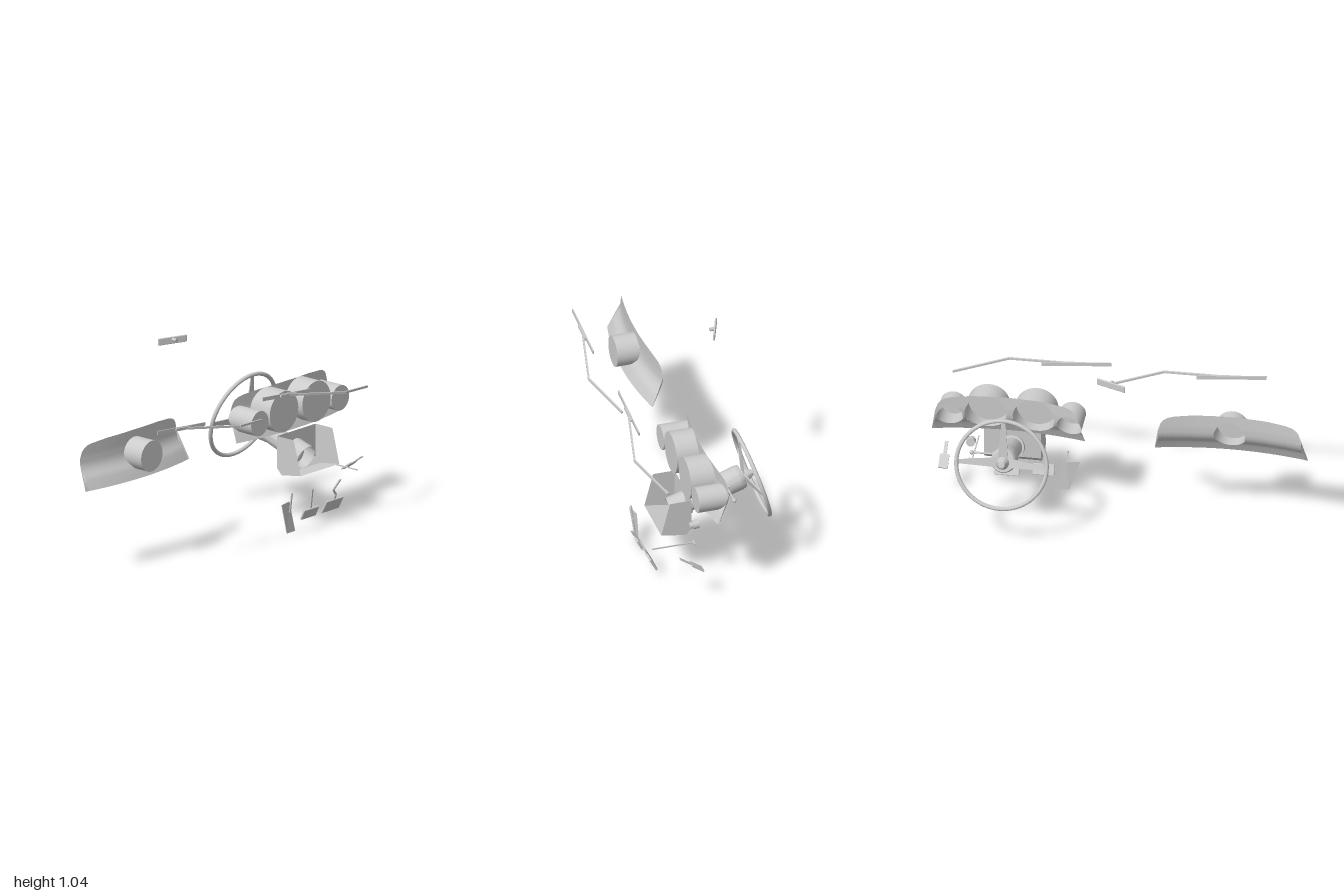
import * as THREE from 'three';
import { mergeGeometries, mergeVertices, toCreasedNormals } from 'three/addons/utils/BufferGeometryUtils.js';
import { ParametricGeometry } from 'three/addons/geometries/ParametricGeometry.js';
import { RoundedBoxGeometry } from 'three/addons/geometries/RoundedBoxGeometry.js';

const mat = new THREE.MeshStandardMaterial({ color: 0xcccccc, side: THREE.DoubleSide });
const V = (x, y, z) => new THREE.Vector3(x, y, z);

function add(parent, name, geo, x = 0, y = 0, z = 0) {
  const m = new THREE.Mesh(geo, mat);
  m.name = name;
  m.position.set(x, y, z);
  parent.add(m);
  return m;
}

function group(parent, name, x = 0, y = 0, z = 0) {
  const g = new THREE.Group();
  g.name = name;
  g.position.set(x, y, z);
  parent.add(g);
  return g;
}

// Flat bar from a to b, w wide and h thick
function bar(parent, name, a, b, w, h) {
  const m = new THREE.Mesh(new THREE.BoxGeometry(w, h, a.distanceTo(b)), mat);
  m.name = name;
  m.position.copy(a).add(b).multiplyScalar(0.5);
  m.lookAt(b);
  parent.add(m);
  return m;
}

// Linear interpolation in a list of [key, value]
function lerpTable(table, t) {
  for (let i = 1; i < table.length; i++) {
    const [a, va] = table[i - 1], [b, vb] = table[i];
    if (t <= b) return va + (vb - va) * Math.max(0, (t - a) / (b - a));
  }
  return table[table.length - 1][1];
}

const OUTLINE = [[0, 0.716], [0.2, 0.713], [0.3, 0.704], [0.33, 0.697], [0.352, 0.685], [0.367, 0.665], [0.38, 0.625], [0.407, 0.47]];
const SECTION = [[0.47, 0.06], [0.5, 0.046], [0.53, 0.031], [0.555, 0.01], [0.575, -0.003], [0.6, -0.01], [0.64, -0.012], [0.716, -0.009]];
const BOTTOM = 0.47, HALF = 0.407, GAUGE_FRONT = 0.11;

// Curved panel with round openings, each backed by a cylindrical housing
function dashPanel(parent, name, cx, holes) {
  const g = group(parent, name);
  const surfaceZ = (x, y) => lerpTable(SECTION, y) - 0.27 * (x - cx) ** 2;
  const topY = x => lerpTable(OUTLINE, Math.abs(x - cx));
  let xs = [];
  for (let i = 0; i <= 30; i++) xs.push(cx - HALF + i * HALF / 15);
  for (const [d] of OUTLINE) xs.push(cx - d, cx + d);
  for (const [hx, , r] of holes) for (let i = 0; i <= 20; i++) xs.push(hx - r * Math.cos(i * Math.PI / 20));
  xs = xs.filter(x => Math.abs(x - cx) <= HALF + 1e-6).sort((a, b) => a - b);
  xs = xs.filter((x, i) => i === 0 || x - xs[i - 1] > 1e-5);

  // Each column runs below and above its opening
  const strip = upper => new ParametricGeometry((u, v, p) => {
    const x = xs[Math.round(u * (xs.length - 1))], top = topY(x);
    const h = holes.find(([hx, , r]) => Math.abs(x - hx) < r);
    const reach = h ? Math.sqrt(h[2] ** 2 - (x - h[0]) ** 2) : 0;
    const mid = Math.min(top, (h ? h[1] : 0.592) + (upper ? reach : -reach));
    const y = upper ? mid + (top - mid) * v : BOTTOM + (mid - BOTTOM) * v;
    p.set(x, y, surfaceZ(x, y));
  }, xs.length - 1, 10);
  const sheet = mergeGeometries([strip(false), strip(true)]);
  sheet.deleteAttribute('uv');
  sheet.deleteAttribute('normal');
  const smooth = mergeVertices(sheet, 1e-5);
  smooth.computeVertexNormals();
  add(g, 'dashSheet', smooth);

  for (const [hx, hy, r] of holes) {
    const tube = new THREE.CylinderGeometry(r, r, 1, 48, 1, true).rotateX(Math.PI / 2).translate(hx, hy, 0);
    const p = tube.attributes.position;
    for (let i = 0; i < p.count; i++) p.setZ(i, p.getZ(i) > 0 ? GAUGE_FRONT : surfaceZ(p.getX(i), p.getY(i)));
    add(g, 'gaugeHousing', tube);
    add(g, 'gaugeCap', new THREE.CircleGeometry(r, 48), hx, hy, GAUGE_FRONT);
  }
}

// Wiper: blade, long arm, and short arm down to the pivot
function wiper(parent, dx) {
  const g = group(parent, 'wiper', dx);
  bar(g, 'wiperBlade', V(-0.735, 0.787, 0.285), V(-0.365, 0.753, 0.285), 0.006, 0.02);
  bar(g, 'wiperClip', V(-0.6, 0.776, 0.29), V(-0.48, 0.765, 0.29), 0.014, 0.012);
  const elbow = V(-0.18, 0.717, 0.366);
  bar(g, 'wiperArm', V(-0.56, 0.772, 0.286), elbow, 0.01, 0.011);
  bar(g, 'wiperLink', elbow, V(0.104, 0.668, 0.27), 0.01, 0.011);
}

// Steering wheel in a frame where y points at the driver and z up the rim
function steeringWheel(parent) {
  const g = group(parent, 'steeringWheel', 0.578, 0.48, -0.294);
  g.rotation.x = 0.288 - Math.PI / 2;
  add(g, 'rim', new THREE.TorusGeometry(0.24, 0.011, 14, 72).rotateX(Math.PI / 2));
  for (const turn of [0, Math.PI / 2, Math.PI]) {
    const s = new THREE.BoxGeometry(0.22, 0.006, 1).translate(0.13, 0, 0);
    const p = s.attributes.position;
    for (let i = 0; i < p.count; i++) {
      const outer = p.getX(i) > 0.13;
      p.setZ(i, p.getZ(i) * (outer ? 0.02 : 0.055));
      if (!outer) p.setY(i, p.getY(i) - 0.045);
    }
    s.computeVertexNormals();
    add(g, 'spoke', s).rotation.y = turn - Math.PI;
    g.children[g.children.length - 1].rotation.y = -turn;
  }
  const hub = [[0.034, -0.06], [0.034, -0.03], [0.022, -0.01], [0.018, 0.005], [0, 0.007]].map(p => new THREE.Vector2(...p));
  add(g, 'hub', toCreasedNormals(new THREE.LatheGeometry(hub, 32), 0.6));
}

function steeringColumn(parent) {
  const g = group(parent, 'steeringColumn', 0.578, 0.366, 0.056);
  g.rotation.x = 0.333 - Math.PI / 2;
  const profile = [[0.067, -0.1], [0.064, 0], [0.054, 0.002], [0.053, 0.145], [0.058, 0.175], [0.066, 0.215], [0.067, 0.29], [0.063, 0.312], [0.058, 0.318], [0, 0.318]]
    .map(p => new THREE.Vector2(...p));
  add(g, 'columnTube', toCreasedNormals(new THREE.LatheGeometry(profile, 40), 0.7));

  // Indicator stalk
  const stalk = group(parent, 'indicatorStalk', 0.64, 0.446, -0.144);
  add(stalk, 'stalkSocket', new THREE.BoxGeometry(0.02, 0.028, 0.028)).rotation.x = 0.33;
  add(stalk, 'stalkRod', new THREE.CylinderGeometry(0.005, 0.005, 0.12, 12).rotateZ(Math.PI / 2), 0.06);
  add(stalk, 'stalkKnob', new THREE.SphereGeometry(0.012, 16, 12), 0.12);
}

// Open sheet box around the column's lower end
function columnBox(parent) {
  const g = group(parent, 'columnBox', 0.58);
  const pts = [[0.2, 0.47], [0.082, 0.47], [0.082, 0.295], [0.114, 0.262], [0.248, 0.283]];
  const side = new THREE.Shape(pts.map(p => new THREE.Vector2(...p)));
  for (const x of [-0.152, 0.152]) add(g, 'boxSide', new THREE.ShapeGeometry(side).rotateY(-Math.PI / 2), x);
  for (let i = 1; i < 4; i++) {
    const [z0, y0] = pts[i], [z1, y1] = pts[i + 1];
    const run = Math.hypot(z1 - z0, y1 - y0);
    const plate = new THREE.PlaneGeometry(0.304, run).rotateX(Math.PI / 2 - Math.atan2(y1 - y0, z1 - z0));
    add(g, 'boxPlate', plate, 0, (y0 + y1) / 2, (z0 + z1) / 2);
  }
}

function pedals(parent) {
  // Accelerator: slanted plate, twisted towards the top
  const acc = group(parent, 'accelerator');
  const outline = [[0.307, 0], [0.37, 0], [0.325, 0.17], [0.25, 0.17]].map(p => new THREE.Vector2(...p));
  const plate = new THREE.ExtrudeGeometry(new THREE.Shape(outline), { depth: 0.005, bevelEnabled: false });
  const p = plate.attributes.position;
  for (let i = 0; i < p.count; i++) p.setZ(i, p.getZ(i) + 0.257 + (0.325 - p.getX(i)) * 0.2 * p.getY(i) / 0.17);
  plate.computeVertexNormals();
  add(acc, 'acceleratorPlate', plate);
  bar(acc, 'acceleratorStem', V(0.318, 0.222, 0.286), V(0.318, 0.115, 0.272), 0.008, 0.006);

  const pad = (name, w, h, x, y, z, tilt, stem) => {
    const g = group(parent, name);
    add(g, 'pedalPad', new RoundedBoxGeometry(w, h, 0.012, 2, 0.004), x, y, z).rotation.x = tilt;
    for (let i = 1; i < stem.length; i++) bar(g, 'pedalStem', V(...stem[i - 1]), V(...stem[i]), 0.009, 0.007);
  };
  pad('middlePedal', 0.115, 0.062, 0.448, 0.089, 0.294, 0.45, [[0.447, 0.225, 0.315], [0.447, 0.1, 0.3]]);
  pad('outerPedal', 0.132, 0.078, 0.64, 0.088, 0.281, 0.5,
    [[0.6, 0.253, 0.374], [0.6, 0.185, 0.325], [0.638, 0.15, 0.308], [0.638, 0.1, 0.288]]);
}

export function createModel() {
  const model = new THREE.Group();
  model.name = 'dashboardFittings';

  dashPanel(model, 'passengerPanel', -0.593, [[-0.586, 0.592, 0.084]]);
  dashPanel(model, 'driverPanel', 0.59, [[0.262, 0.58, 0.068], [0.452, 0.603, 0.112], [0.707, 0.603, 0.111], [0.895, 0.58, 0.069]]);
  for (const dx of [0, 0.823]) wiper(model, dx);
  steeringWheel(model);
  steeringColumn(model);
  columnBox(model);
  pedals(model);

  // Rear-view mirror, turned towards the driver
  const mirror = group(model, 'mirror', 0, 1.02, -0.27);
  add(mirror, 'mirrorBody', new RoundedBoxGeometry(0.168, 0.038, 0.01, 2, 0.004)).rotation.y = -0.36;
  add(mirror, 'mirrorMount', new THREE.CylinderGeometry(0.01, 0.01, 0.03, 12).rotateX(Math.PI / 2), 0, 0.004, 0.014);

  // Ignition switch
  const lock = group(model, 'ignitionSwitch', 0.8, 0.364, 0.09);
  lock.rotation.x = Math.PI / 2 + 0.12;
  add(lock, 'switchBody', new THREE.CylinderGeometry(0.024, 0.024, 0.032, 24), 0, -0.008, 0);
  add(lock, 'switchNose', new THREE.CylinderGeometry(0.017, 0.017, 0.016, 24), 0, 0.016, 0);

  // Pull rod with a cross grip
  const pull = group(model, 'pullRod');
  bar(pull, 'rod', V(0.795, 0.25, 0.316), V(0.795, 0.25, 0.088), 0.006, 0.006);
  bar(pull, 'grip', V(0.775, 0.25, 0.09), V(0.815, 0.25, 0.09), 0.008, 0.007);

  // Release lever by the door
  const lever = group(model, 'releaseLever');
  bar(lever, 'leverStem', V(0.95, 0.267, 0.213), V(0.95, 0.222, 0.149), 0.018, 0.005);
  bar(lever, 'leverHandle', V(0.95, 0.224, 0.152), V(0.95, 0.179, 0.087), 0.05, 0.007);
  return model;
}
